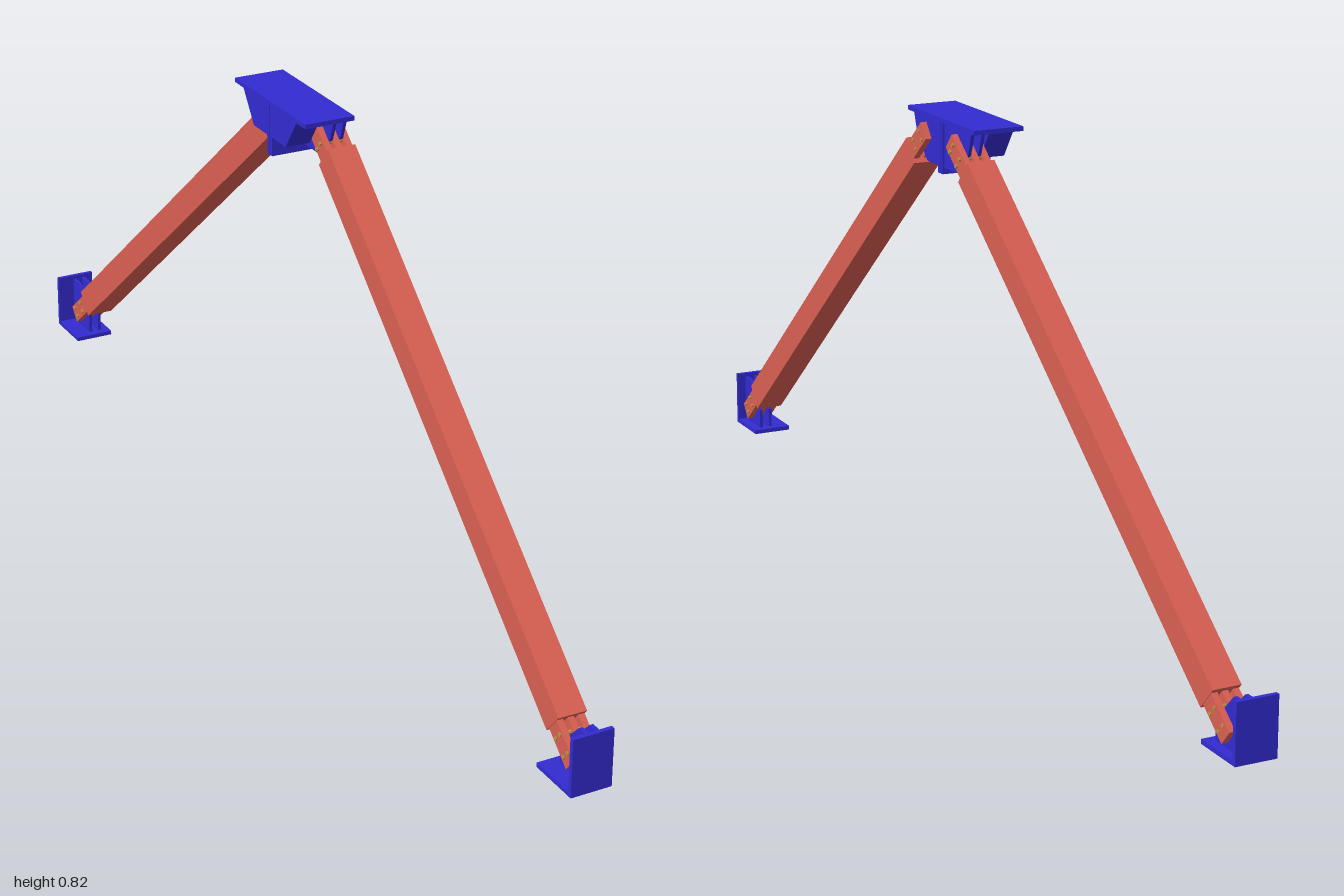
import * as THREE from 'three';

const mat = (color) => new THREE.MeshStandardMaterial({ color, flatShading: true });
const red = mat(0xd95f52), blue = mat(0x322bd0), brass = mat(0xb8963c);

function box(name, size, pos, material, parent) {
  const m = new THREE.Mesh(new THREE.BoxGeometry(...size), material);
  m.name = name;
  m.position.set(...pos);
  parent.add(m);
  return m;
}

// Plate with a (z, y) outline, extruded along x from x0 by the given width
function sidePlate(name, outline, x0, width, parent) {
  const shape = new THREE.Shape(outline.map(([z, y]) => new THREE.Vector2(-z, y)));
  const geo = new THREE.ExtrudeGeometry(shape, { depth: width, bevelEnabled: false });
  geo.rotateY(Math.PI / 2);
  const m = new THREE.Mesh(geo, blue);
  m.name = name;
  m.position.x = x0;
  parent.add(m);
}

// Slotted, bolted end of a beam; runs outward along +z from the body end
function beamEnd(length) {
  const g = new THREE.Group();
  g.name = 'slottedEnd';
  for (const x of [-0.0195, 0, 0.0195]) {
    box('slat', [0.011, 0.034, length], [x, 0, length / 2], red, g);
  }
  const boltGeo = new THREE.CylinderGeometry(0.0035, 0.0035, 0.056, 8).rotateZ(Math.PI / 2);
  for (const z of [0.3, 0.75]) {
    for (const y of [-0.009, 0.009]) {
      const bolt = new THREE.Mesh(boltGeo, brass);
      bolt.name = 'bolt';
      bolt.position.set(0.001, y, z * length);
      g.add(bolt);
    }
  }
  return g;
}

// Sloping beam between two points, with a slotted end at each side
function beam(name, from, to) {
  const g = new THREE.Group();
  g.name = name;
  const a = new THREE.Vector3(...from), b = new THREE.Vector3(...to);
  const length = a.distanceTo(b), tip = 0.07, body = length - 2 * tip;
  g.position.copy(a).add(b).multiplyScalar(0.5);
  g.lookAt(b);
  box('beamBody', [0.052, 0.052, body], [0, 0, 0], red, g);
  for (const s of [1, -1]) {
    const end = beamEnd(tip);
    end.position.z = s * body / 2;
    if (s < 0) end.rotation.y = Math.PI;
    g.add(end);
  }
  return g;
}

// Angle bracket on the ground at the front foot
function footBracket() {
  const g = new THREE.Group();
  g.name = 'footBracket';
  box('wallPlate', [0.075, 0.105, 0.008], [-0.006, 0.0525, 0.996], blue, g);
  box('basePlate', [0.075, 0.008, 0.1], [-0.006, 0.004, 0.95], blue, g);
  const outline = [[0.992, 0.008], [0.992, 0.098], [0.965, 0.098], [0.915, 0.045], [0.915, 0.008]];
  for (const x of [-0.0075, 0.012]) sidePlate('gusset', outline, x - 0.003, 0.006, g);
  return g;
}

// Front half of the ridge bracket: top plate, centre plate and gussets
function ridgeBracket() {
  const g = new THREE.Group();
  g.name = 'ridgeBracket';
  box('topPlate', [0.093, 0.008, 0.132], [-0.0065, 0.815, 0.066], blue, g);
  box('centrePlate', [0.093, 0.097, 0.008], [-0.0065, 0.7695, 0.005], blue, g);
  const wedge = [[0.008, 0.812], [0.1, 0.812], [0.06, 0.755], [0.008, 0.755]];
  sidePlate('sideWedge', wedge, -0.053, 0.046, g);
  const gusset = [[0.008, 0.812], [0.115, 0.812], [0.1, 0.77], [0.06, 0.732], [0.008, 0.732]];
  for (const x of [0.0135, 0.033]) sidePlate('gusset', gusset, x - 0.003, 0.006, g);
  return g;
}

export function createModel() {
  const model = new THREE.Group();
  model.name = 'aFrame';
  for (const s of [1, -1]) {
    const side = s > 0 ? 'front' : 'back';
    model.add(beam(side + 'Beam', [0.002, 0.032, s * 0.963], [0.0235, 0.788, s * 0.05]));
    // The back brackets are turned copies, shifted to keep the same x offset
    for (const part of [footBracket(), ridgeBracket()]) {
      if (s < 0) {
        part.traverse((m) => {
          if (!m.isMesh) return;
          m.geometry = mirrorZ(m.geometry);
          m.position.z *= -1;
        });
      }
      part.name = side + part.name[0].toUpperCase() + part.name.slice(1);
      model.add(part);
    }
  }
  return model;
}

// Mirror a geometry in z and restore its winding
function mirrorZ(geometry) {
  const geo = geometry.index ? geometry.toNonIndexed() : geometry.clone();
  geo.scale(1, 1, -1);
  const p = geo.attributes.position;
  const a = new THREE.Vector3(), b = new THREE.Vector3();
  for (let i = 0; i < p.count; i += 3) {
    a.fromBufferAttribute(p, i + 1);
    b.fromBufferAttribute(p, i + 2);
    p.setXYZ(i + 1, b.x, b.y, b.z);
    p.setXYZ(i + 2, a.x, a.y, a.z);
  }
  geo.computeVertexNormals();
  return geo;
}
